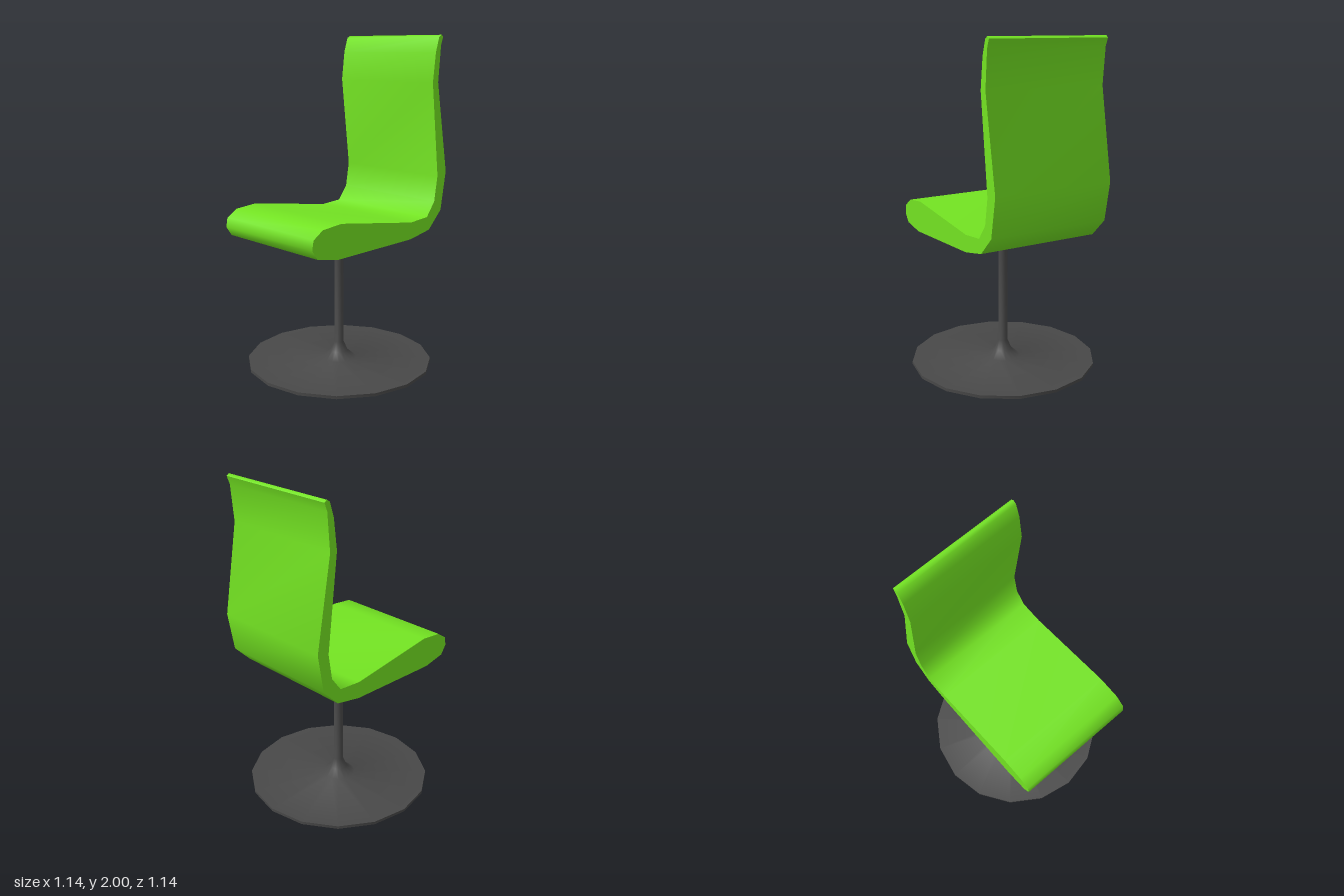
import * as THREE from 'three';
import { toCreasedNormals } from 'three/addons/utils/BufferGeometryUtils.js';

const GREEN = new THREE.MeshStandardMaterial({ color: 0x73e322 });
const DARK = new THREE.MeshStandardMaterial({ color: 0x484848 });

const points = (list) => list.map(([a, b]) => new THREE.Vector2(a, b));

function part(name, geometry, material, creaseDegrees) {
  const mesh = new THREE.Mesh(
    toCreasedNormals(geometry, THREE.MathUtils.degToRad(creaseDegrees)), material);
  mesh.name = name;
  return mesh;
}

export function createModel() {
  const chair = new THREE.Group();
  chair.name = 'swivelChair';

  // Seat and backrest: one side profile (z, y) swept across the width
  const width = 0.77;
  const profile = points([
    // seat top, from the front nose to the bend
    [0.56, 0.88], [0.55, 0.935], [0.483, 0.98], [0.345, 0.993],
    [-0.22, 0.912], [-0.365, 0.923],
    // backrest front and rolled top edge
    [-0.43, 1.01], [-0.455, 1.165], [-0.392, 1.725], [-0.413, 1.9],
    [-0.44, 1.988], [-0.46, 2.0], [-0.476, 1.988], [-0.458, 1.94],
    // backrest rear
    [-0.44, 1.725], [-0.533, 1.185], [-0.492, 0.95],
    // underside
    [-0.386, 0.842], [-0.22, 0.81], [0.38, 0.796], [0.523, 0.825],
  ]);
  const shell = new THREE.ExtrudeGeometry(new THREE.Shape(profile), {
    depth: width, bevelEnabled: false,
  });
  shell.translate(0, 0, -width / 2).rotateY(-Math.PI / 2);
  chair.add(part('seatAndBack', shell, GREEN, 70));

  // Pedestal: hollowed underside, thin disc, flared foot and post
  const pedestal = new THREE.LatheGeometry(points([
    [0, 0.11], [0.025, 0.1], [0.05, 0.05], [0.1, 0],
    [0.57, 0], [0.57, 0.018],
    [0.105, 0.022], [0.053, 0.065], [0.028, 0.125], [0.028, 0.82], [0, 0.82],
  ]), 16);
  chair.add(part('pedestal', pedestal, DARK, 50));

  return chair;
}
